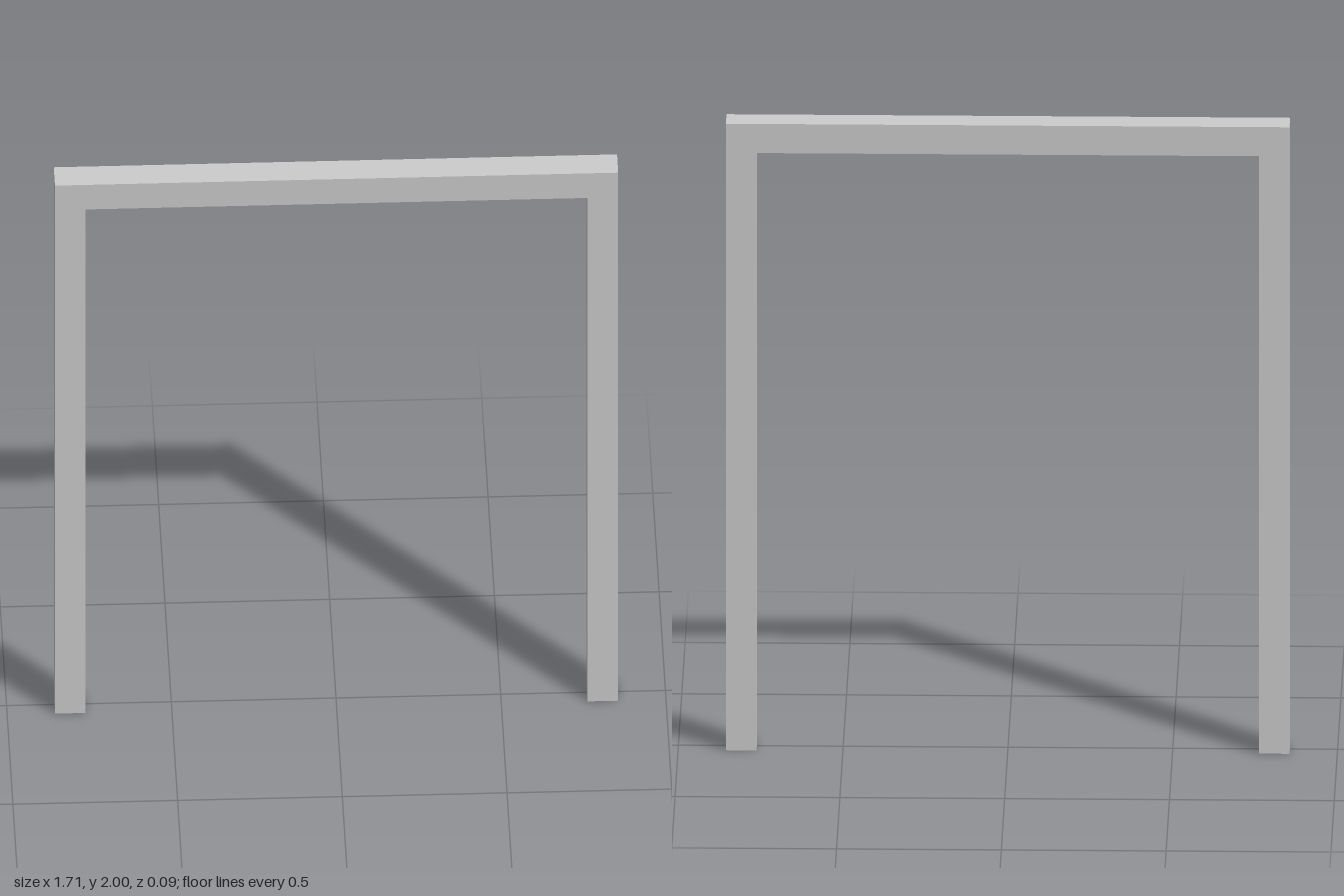
import * as THREE from 'three';

const HALF_WIDTH = 0.855;
const HEIGHT = 2;
const BAR = 0.093; // square section of posts and lintel

export function createModel() {
  const group = new THREE.Group();
  group.name = 'doorFrame';

  // Two posts and a lintel as one seamless outline
  const inner = HALF_WIDTH - BAR;
  const outline = new THREE.Shape([
    [-HALF_WIDTH, 0], [-inner, 0], [-inner, HEIGHT - BAR], [inner, HEIGHT - BAR],
    [inner, 0], [HALF_WIDTH, 0], [HALF_WIDTH, HEIGHT], [-HALF_WIDTH, HEIGHT],
  ].map(([x, y]) => new THREE.Vector2(x, y)));

  const geometry = new THREE.ExtrudeGeometry(outline, { depth: BAR, bevelEnabled: false });
  geometry.translate(0, 0, -BAR / 2);

  const frame = new THREE.Mesh(geometry, new THREE.MeshStandardMaterial({ color: 0xcccccc }));
  frame.name = 'postsAndLintel';
  group.add(frame);
  return group;
}
